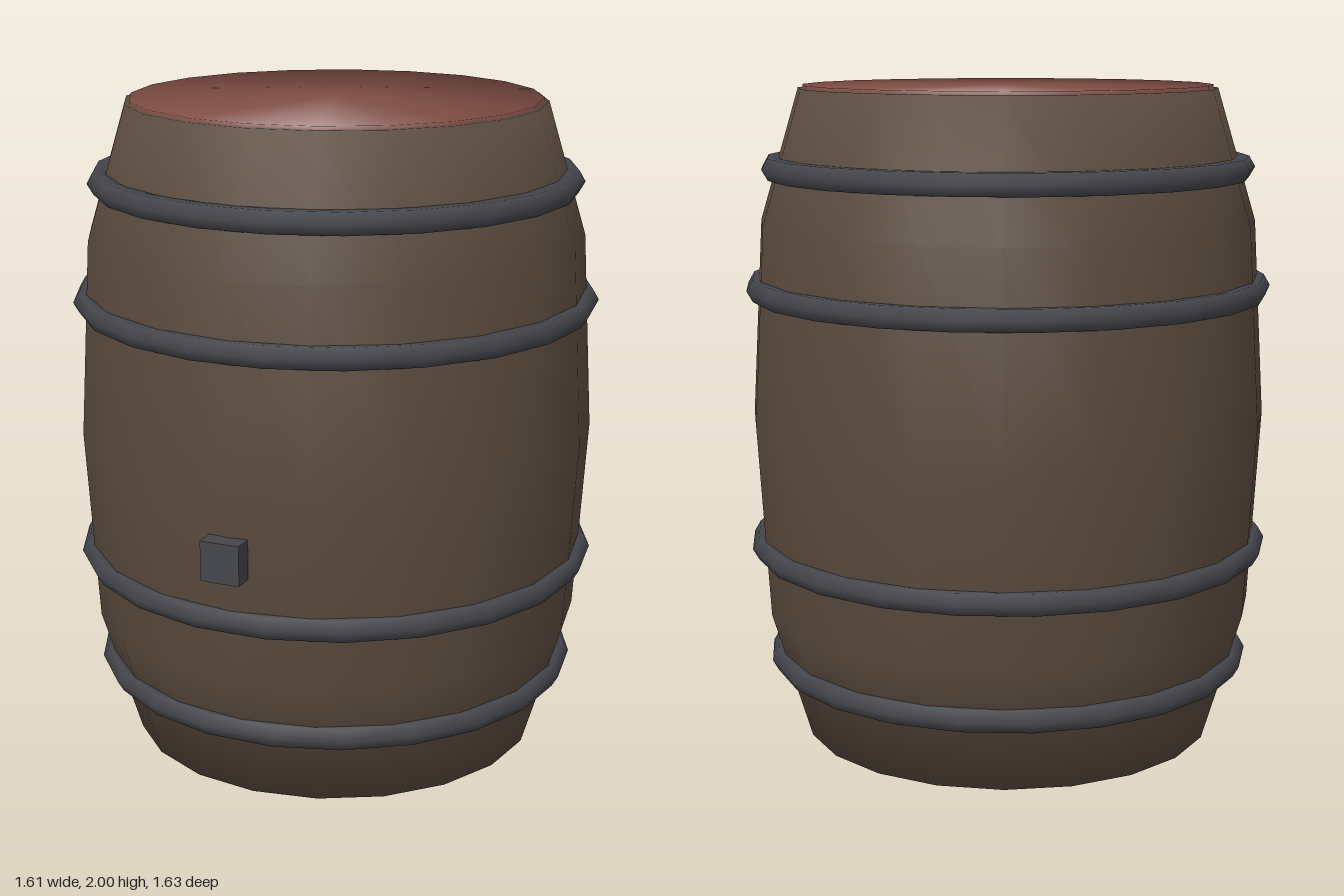
import * as THREE from 'three';
import { mergeVertices } from 'three/addons/utils/BufferGeometryUtils.js';

const wood = new THREE.MeshStandardMaterial({ color: 0x5a4a3e });
const redWood = new THREE.MeshStandardMaterial({ color: 0x804e45 });
const iron = new THREE.MeshStandardMaterial({ color: 0x45464c });

// Closed turned solid with shared vertices, so shading runs smoothly over the rims
function turned(profile, sides) {
  const lathe = new THREE.LatheGeometry(profile.map(([r, y]) => new THREE.Vector2(r, y)), sides);
  lathe.deleteAttribute('uv');
  lathe.deleteAttribute('normal');
  const geometry = mergeVertices(lathe, 1e-4);
  geometry.computeVertexNormals();
  return geometry;
}

function addPart(parent, name, geometry, material, x, y, z) {
  const mesh = new THREE.Mesh(geometry, material);
  mesh.name = name;
  mesh.position.set(x, y, z);
  parent.add(mesh);
  return mesh;
}

export function createModel() {
  const model = new THREE.Group();
  model.name = 'barrel';
  const axisZ = -0.02; // the front plug shifts the barrel slightly back

  // Bulging body
  const body = turned([
    [0, 0], [0.635, 0], [0.755, 0.4], [0.79, 0.995], [0.755, 1.59], [0.635, 1.99], [0, 1.99],
  ], 20);
  addPart(model, 'body', body, wood, 0, 0, axisZ);

  // Thin lid, with rim normals leaning outwards for a softly rounded look
  const lidRadius = 0.62;
  const lid = turned([[0, 1.96], [lidRadius, 1.96], [lidRadius, 2], [0, 2]], 20);
  const { position, normal } = lid.attributes;
  const n = new THREE.Vector3();
  for (let i = 0; i < position.count; i++) {
    const up = position.getY(i) > 1.98 ? 1 : -1;
    n.set(position.getX(i), up * lidRadius * 0.67, position.getZ(i)).normalize();
    normal.setXYZ(i, n.x, n.y, n.z);
  }
  addPart(model, 'lid', lid, redWood, 0, 0, axisZ);

  // Four iron hoops: height and ring radius
  const hoops = [[0.24, 0.712], [0.6, 0.765], [1.395, 0.765], [1.755, 0.712]];
  for (const [y, radius] of hoops) {
    const hoop = new THREE.TorusGeometry(radius, 0.0375, 6, 22).rotateX(Math.PI / 2);
    addPart(model, 'hoop', hoop, iron, 0, y, axisZ);
  }

  // Small square plug on the front
  addPart(model, 'plug', new THREE.BoxGeometry(0.12, 0.12, 0.06), iron, 0, 0.8, 0.785);

  return model;
}
